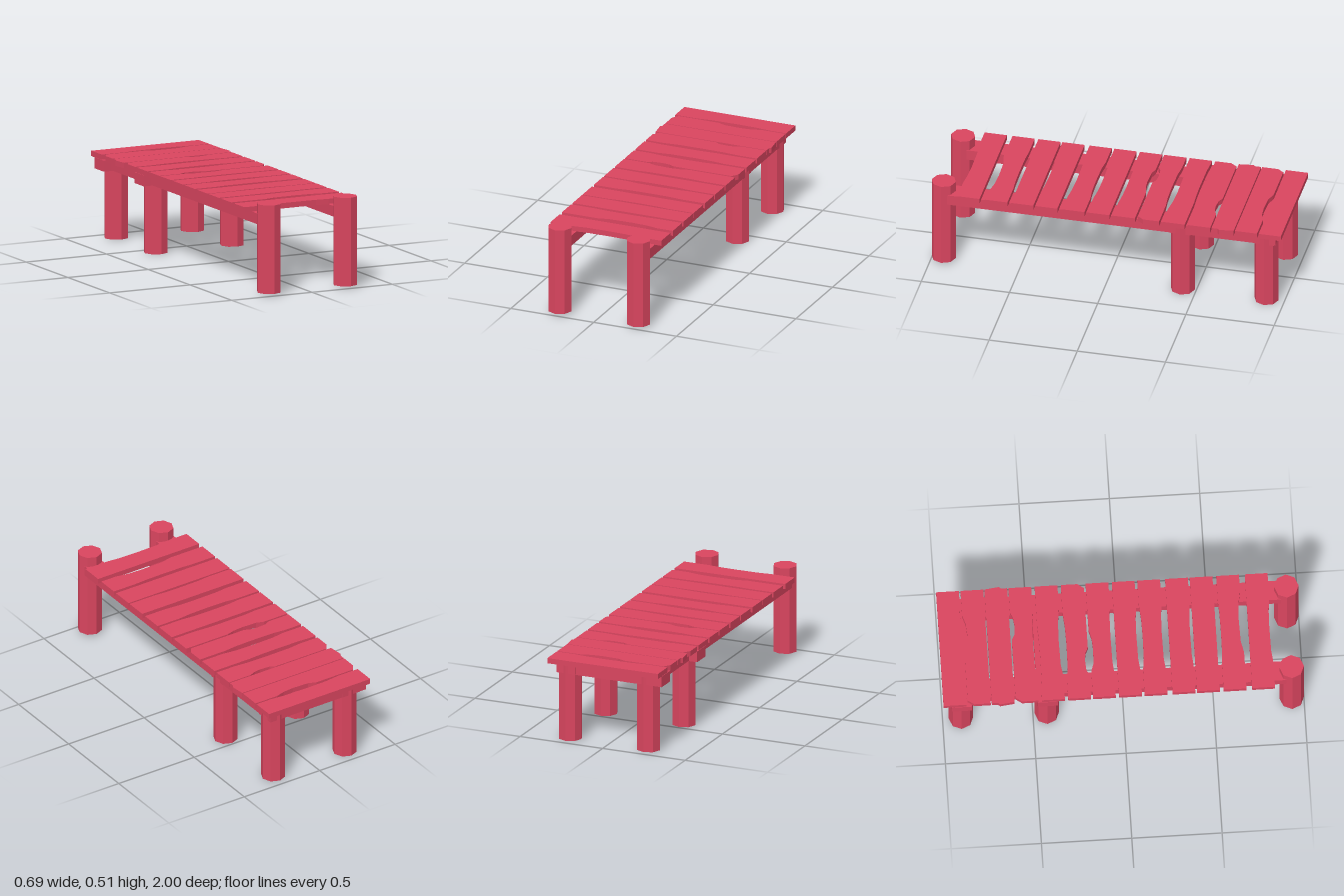
import * as THREE from 'three';

const material = new THREE.MeshStandardMaterial({ color: 0xd9455f, flatShading: true });

// Each plank: back z, then optional worn notches as [centre x, half width, depth]
const PLANKS = [
  { z: -1, front: [0.02, 0.22, 0.012] },
  { z: -0.865, back: [0.06, 0.13, 0.022], cut: -1 },
  { z: -0.733, bulge: 0.01 },
  { z: -0.6, back: [0.11, 0.08, 0.02], front: [0, 0.22, 0.01], cut: -1 },
  { z: -0.455, back: [-0.1, 0.2, 0.006], front: [0, 0.2, 0.013] },
  { z: -0.31, back: [-0.03, 0.2, 0.01], front: [-0.12, 0.08, 0.02], cut: 1 },
  { z: -0.173, back: [-0.06, 0.12, 0.018], front: [0, 0.2, 0.008] },
  { z: -0.028, front: [0, 0.19, 0.01] },
  { z: 0.113, back: [0, 0.19, 0.01], front: [0, 0.2, 0.01] },
  { z: 0.267, front: [0, 0.18, 0.008] },
  { z: 0.403 },
  { z: 0.55, back: [0, 0.19, 0.006], front: [0.06, 0.18, 0.018] },
  { z: 0.708, front: [0, 0.19, 0.01] },
];

function add(group, name, geometry, x, y, z) {
  const mesh = new THREE.Mesh(geometry, material);
  mesh.name = name;
  mesh.position.set(x, y, z);
  group.add(mesh);
}

// Points of a worn notch from left to right; inward is the z direction into the plank
function notch(spec, edge, inward) {
  if (!spec) return [];
  const [centre, half, depth] = spec;
  return [[-1, 0], [-0.65, 0.8], [0.1, 1], [0.6, 0.75], [1, 0]].map(([t, d]) => [centre + t * half, edge + inward * d * depth]);
}

// Board outline with notches, bulging ends or a cut corner, extruded upward
function plankGeometry({ z, back, front, bulge = 0, cut = 0 }) {
  const w = 0.335;
  const far = z + 0.126;
  const leftCut = cut < 0 ? 0.025 : 0;
  const rightCut = cut > 0 ? 0.025 : 0;
  const points = [
    [-w, far], ...notch(front, far, -1),
    [w - rightCut, far], [w, far - 0.035], [w + bulge, far - 0.045],
    [w, z], ...notch(back, z, 1).reverse(),
    [-w + leftCut, z], [-w, z + 0.035], [-w - bulge, z + 0.045],
  ];
  const shape = new THREE.Shape(points.map(([px, pz]) => new THREE.Vector2(px, -pz)));
  return new THREE.ExtrudeGeometry(shape, { depth: 0.03, bevelEnabled: false }).rotateX(-Math.PI / 2);
}

export function createModel() {
  const model = new THREE.Group();
  model.name = 'dock';

  // Octagonal posts and a long beam on each side
  for (const [side, x] of [['right', -0.233], ['left', 0.241]]) {
    for (const [row, z, bottom, top] of [['Front', 0.932, 0.012, 0.51], ['Middle', -0.423, 0, 0.45], ['Back', -0.898, 0, 0.45]]) {
      const post = new THREE.CylinderGeometry(0.068, 0.068, top - bottom, 8);
      add(model, side + row + 'Post', post, x, (top + bottom) / 2, z);
    }
    add(model, side + 'Beam', new THREE.BoxGeometry(0.112, 0.06, 1.86), x, 0.422, -0.03);
  }

  // Cross beams over the rear posts, overhanging on one side
  for (const [name, z] of [['middleCrossBeam', -0.423], ['backCrossBeam', -0.898]]) {
    add(model, name, new THREE.BoxGeometry(0.635, 0.062, 0.112), -0.02, 0.42, z);
  }

  // Deck
  const deck = new THREE.Group();
  deck.name = 'deck';
  PLANKS.forEach((plank, i) => add(deck, 'plank' + (i + 1), plankGeometry(plank), 0, 0.45, 0));
  model.add(deck);
  return model;
}
